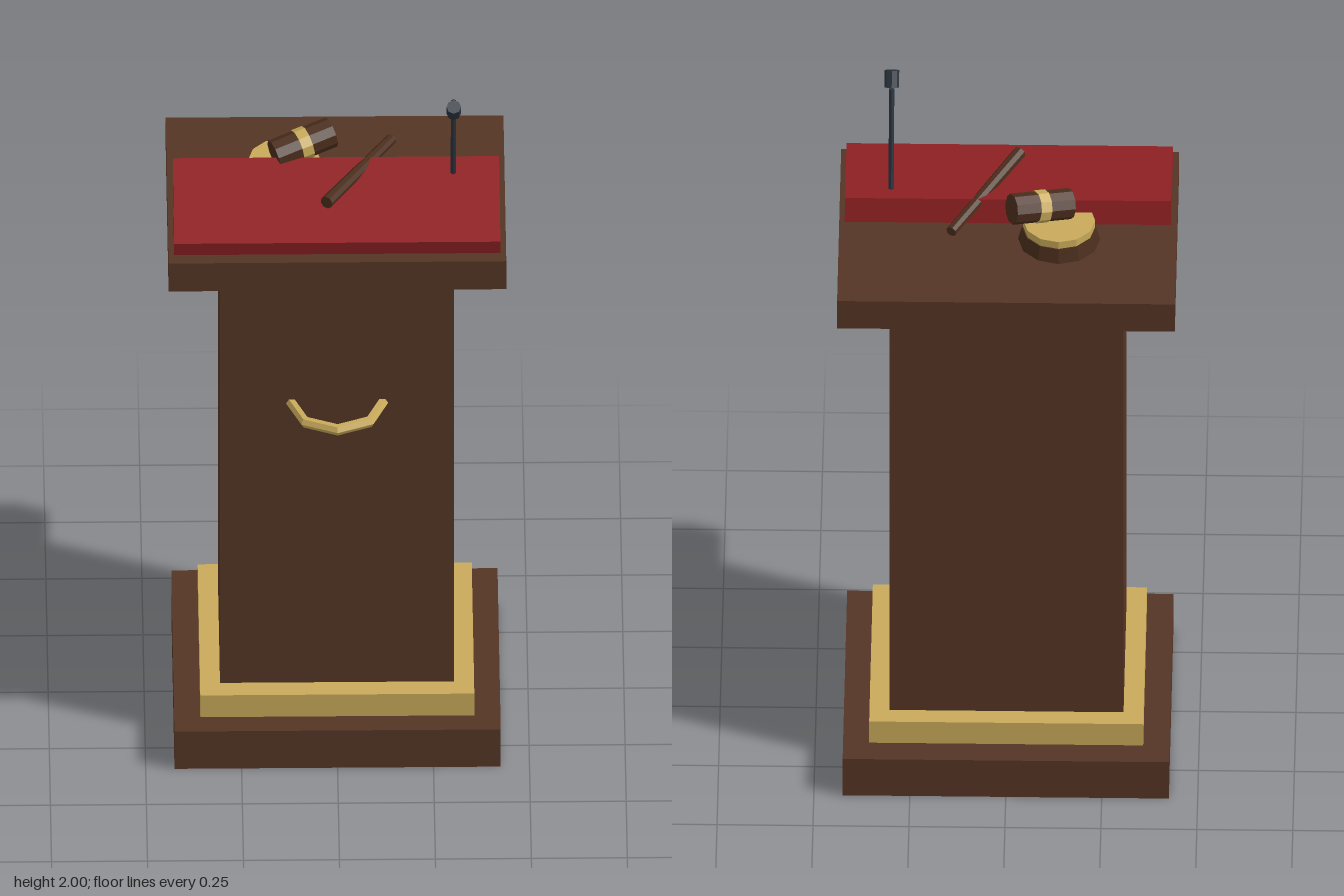
import * as THREE from 'three';

function material(name, color) {
  const m = new THREE.MeshStandardMaterial({ color, flatShading: true });
  m.name = name;
  return m;
}

export function createModel() {
  const wood = material('walnut wood', 0x553525);
  const darkWood = material('dark wood', 0x4a2d1c);
  const brass = material('brass', 0xc8aa5a);
  const red = material('red leather', 0x8f2023);
  const black = material('dark slate metal', 0x2b343e);

  const model = new THREE.Group();
  model.name = 'lectern';

  function add(name, geometry, mat, parent = model) {
    const mesh = new THREE.Mesh(geometry, mat);
    mesh.name = name;
    parent.add(mesh);
    return mesh;
  }

  // Box given by its half width, height range and depth range
  function slab(name, halfX, y0, y1, z0, z1, mat) {
    const mesh = add(name, new THREE.BoxGeometry(halfX * 2, y1 - y0, z1 - z0), mat);
    mesh.position.set(0, (y0 + y1) / 2, (z0 + z1) / 2);
    return mesh;
  }

  // Tapered rod between two points, r0 at the start and r1 at the end
  function rod(name, from, to, r0, r1, sides, mat) {
    const a = new THREE.Vector3(...from);
    const dir = new THREE.Vector3(...to).sub(a);
    const mesh = add(name, new THREE.CylinderGeometry(r1, r0, dir.length(), sides), mat);
    mesh.position.copy(a).addScaledVector(dir, 0.5);
    mesh.quaternion.setFromUnitVectors(new THREE.Vector3(0, 1, 0), dir.normalize());
    return mesh;
  }

  // Stand
  slab('base', 0.425, 0, 0.12, -0.37, 0.343, wood);
  slab('baseTrim', 0.357, 0.12, 0.19, -0.3, 0.28, brass);
  slab('column', 0.305, 0.19, 1.515, -0.25, 0.225, wood);
  slab('top', 0.44, 1.515, 1.605, -0.335, 0.31, wood);

  // Sloped reading board, its front edge sunk into the top
  const board = add('readingBoard', new THREE.BoxGeometry(0.85, 0.07, 0.308), red);
  board.position.set(0, 1.64, 0.123);
  board.rotation.x = 0.18;

  // Curved handle on the front
  const handle = add('frontHandle', new THREE.TorusGeometry(0.118, 0.015, 6, 4, Math.PI), brass);
  handle.rotation.x = Math.PI / 2;
  handle.position.set(0, 1.093, 0.23);

  // Sounding block
  const block = new THREE.Group();
  block.name = 'soundingBlock';
  block.position.set(-0.134, 1.605, -0.062);
  model.add(block);
  add('blockBase', new THREE.CylinderGeometry(0.097, 0.107, 0.04, 12), darkWood, block).position.y = 0.02;
  add('blockPlate', new THREE.CylinderGeometry(0.094, 0.094, 0.022, 12), brass, block).position.y = 0.051;

  // Gavel head, lying tilted on the block, with a brass band
  const head = new THREE.Group();
  head.name = 'gavelHead';
  head.position.set(-0.086, 1.715, -0.066);
  head.quaternion.setFromUnitVectors(
    new THREE.Vector3(0, 1, 0), new THREE.Vector3(0.91, 0.17, -0.38).normalize());
  model.add(head);
  add('headBarrel', new THREE.CylinderGeometry(0.041, 0.041, 0.165, 10), darkWood, head);
  add('headBand', new THREE.CylinderGeometry(0.0435, 0.0435, 0.03, 10), brass, head);

  // Gavel handle, resting across the back edge of the board
  rod('gavelHandle', [-0.027, 1.702, 0.178], [0.146, 1.68, -0.132], 0.0175, 0.0145, 8, darkWood);

  // Microphone
  rod('microphoneStem', [0.305, 1.67, 0.028], [0.305, 1.968, 0.1], 0.008, 0.008, 6, black);
  rod('microphoneHead', [0.305, 1.951, 0.129], [0.305, 1.989, 0.153], 0.019, 0.019, 8, black);

  return model;
}
